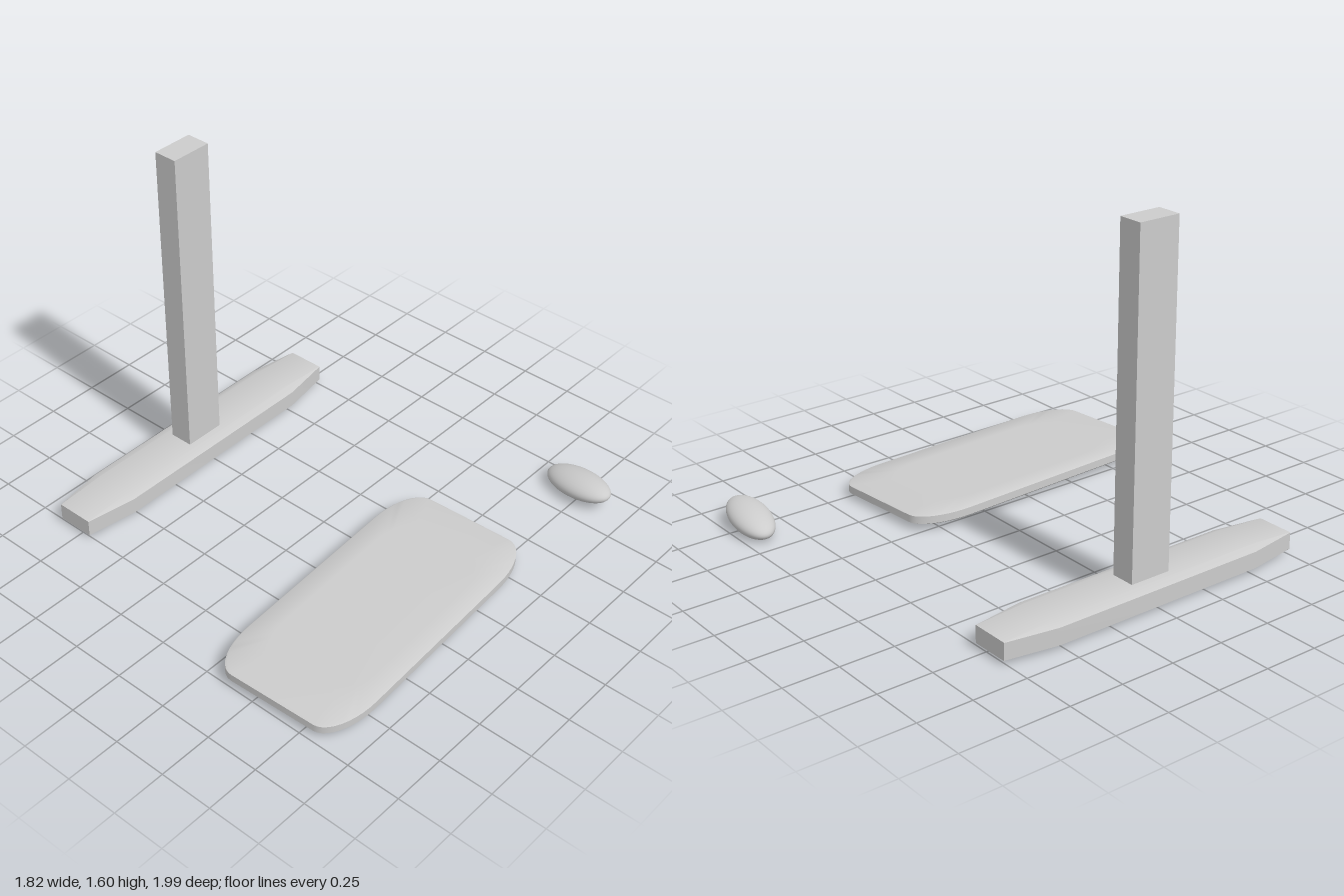
import * as THREE from 'three';
import { toCreasedNormals } from 'three/addons/utils/BufferGeometryUtils.js';

const material = new THREE.MeshStandardMaterial({ color: 0xcccccc });

// Skin a list of equal-length loops of [x, y, z] points; end caps fan to the centre.
function loft(loops, crease) {
  const centre = (loop) => {
    const sum = loop.reduce((s, p) => s.map((v, k) => v + p[k]), [0, 0, 0]);
    return sum.map((v) => v / loop.length);
  };
  const n = loops[0].length;
  const last = loops[loops.length - 1];
  const out = [];
  const first = centre(loops[0]);
  const end = centre(last);
  for (let j = 0; j < n; j++) {
    const k = (j + 1) % n;
    out.push(...first, ...loops[0][k], ...loops[0][j]);
    for (let i = 0; i < loops.length - 1; i++) {
      const [a, b, c, d] = [loops[i][j], loops[i][k], loops[i + 1][k], loops[i + 1][j]];
      out.push(...a, ...b, ...c, ...a, ...c, ...d);
    }
    out.push(...end, ...last[j], ...last[k]);
  }
  const geometry = new THREE.BufferGeometry();
  geometry.setAttribute('position', new THREE.Float32BufferAttribute(out, 3));
  return toCreasedNormals(geometry, crease);
}

function addMesh(parent, name, geometry, x, y, z) {
  const mesh = new THREE.Mesh(geometry, material);
  mesh.name = name;
  mesh.position.set(x, y, z);
  parent.add(mesh);
  return mesh;
}

// Eight-sided section of the foot beam: half widths a (sides) and b (top and bottom).
function beamSection(z, a, b, low, high) {
  const mid = 0.06;
  return [
    [a, mid - low, z], [a, mid + low, z], [b, mid + high, z], [-b, mid + high, z],
    [-a, mid + low, z], [-a, mid - low, z], [-b, mid - high, z], [b, mid - high, z],
  ];
}

// Rounded plate outline with long elliptical corners, scaled about its centre.
function plateLoop(scale, y) {
  const points = [];
  const steps = 10;
  [[1, 1], [-1, 1], [-1, -1], [1, -1]].forEach(([sx, sz], corner) => {
    for (let i = 0; i <= steps; i++) {
      const t = (corner + i / steps) * Math.PI / 2;
      const x = sx * 0.208 + 0.12 * Math.cos(t);
      const z = sz * 0.433 + 0.25 * Math.sin(t);
      points.push([x * scale, y, -z * scale]);
    }
  });
  return points;
}

export function createModel() {
  const model = new THREE.Group();
  model.name = 'postPlateAndPebble';

  // Standing post on a foot beam with tapered ends
  const stand = new THREE.Group();
  stand.name = 'stand';
  stand.position.x = -0.785;
  model.add(stand);
  addMesh(stand, 'footBeam', loft([
    beamSection(-0.76, 0.088, 0.087, 0.038, 0.039),
    beamSection(-0.52, 0.127, 0.088, 0.038, 0.054),
    beamSection(0.52, 0.127, 0.088, 0.038, 0.054),
    beamSection(0.76, 0.088, 0.087, 0.038, 0.039),
  ], 0.6), 0, 0, 0);
  addMesh(stand, 'post', new THREE.BoxGeometry(0.112, 1.5, 0.195), 0, 0.85, 0);

  // Thin plate with a shallow belly, lying slightly turned and tilted
  const plate = addMesh(model, 'plate', loft([
    plateLoop(0.84, -0.055),
    plateLoop(0.985, -0.043),
    plateLoop(1, -0.038),
    plateLoop(1, -0.004),
    plateLoop(0.985, 0),
    plateLoop(0.7, 0.001),
  ], 0.7), 0.553, 0.07, 0.303);
  plate.rotation.set(0, 0.055, -0.023);

  // Small smooth pebble
  const pebbleShape = new THREE.SphereGeometry(1, 40, 24);
  pebbleShape.rotateZ(Math.PI / 2);
  pebbleShape.scale(0.175, 0.054, 0.09);
  const pebble = addMesh(model, 'pebble', pebbleShape, 0.73, 0.06, -0.906);
  pebble.rotation.set(0, -0.14, 0.12);

  return model;
}
